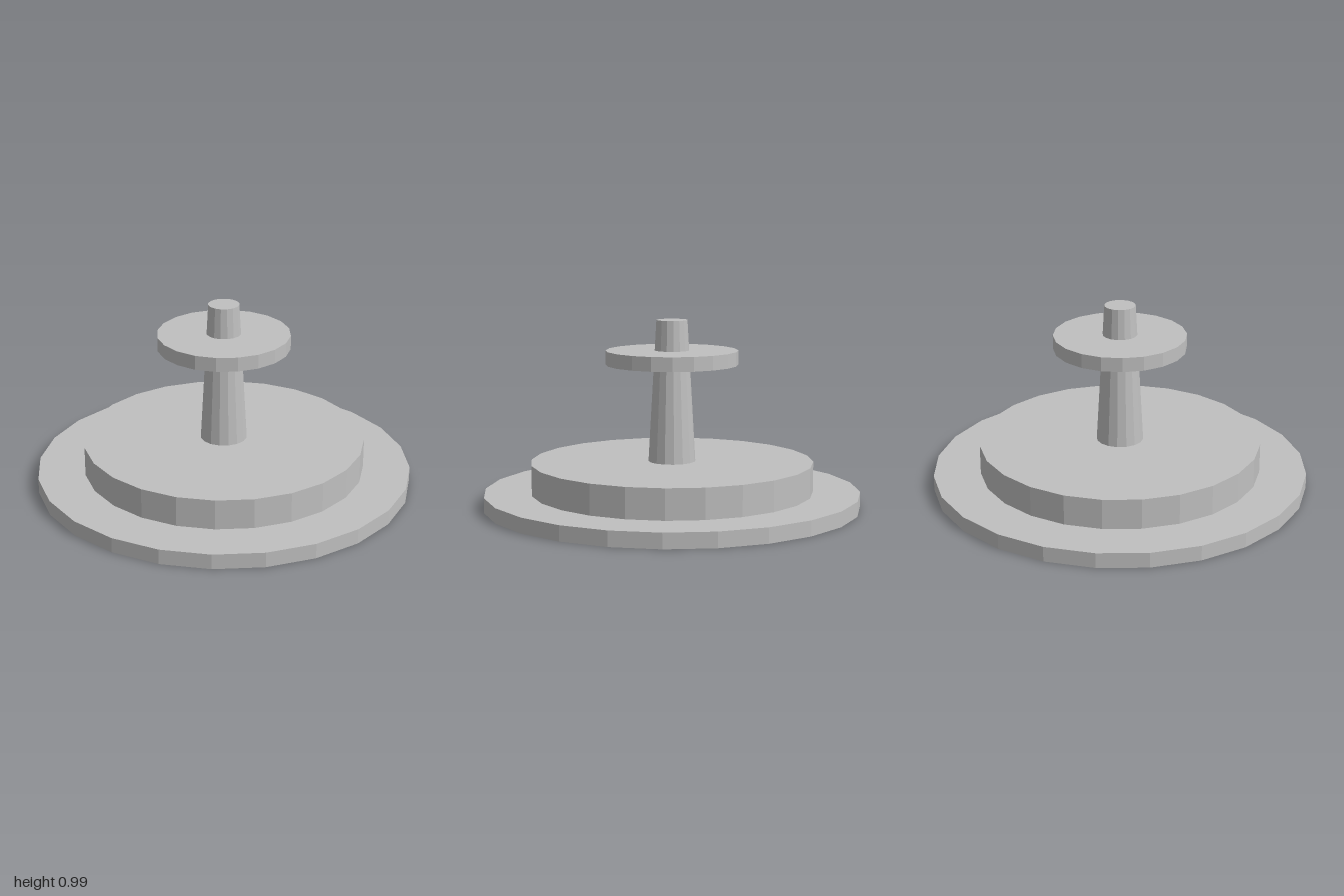
import * as THREE from 'three';

export function createModel() {
  const group = new THREE.Group();
  const grey = new THREE.MeshStandardMaterial({ color: 0xc0c0c0, flatShading: true });
  grey.name = 'light grey';

  // name, bottom radius, top radius, bottom y, top y, sides
  const parts = [
    ['basePlate', 1, 1, 0, 0.08, 24],
    ['upperStep', 0.75, 0.75, 0.08, 0.24, 24],
    ['taperedPost', 0.125, 0.082, 0.24, 0.99, 16],
    ['collarDisc', 0.35, 0.35, 0.755, 0.83, 20],
  ];

  for (const [name, rBottom, rTop, y0, y1, sides] of parts) {
    const mesh = new THREE.Mesh(new THREE.CylinderGeometry(rTop, rBottom, y1 - y0, sides), grey);
    mesh.name = name;
    mesh.position.y = (y0 + y1) / 2;
    group.add(mesh);
  }
  return group;
}
